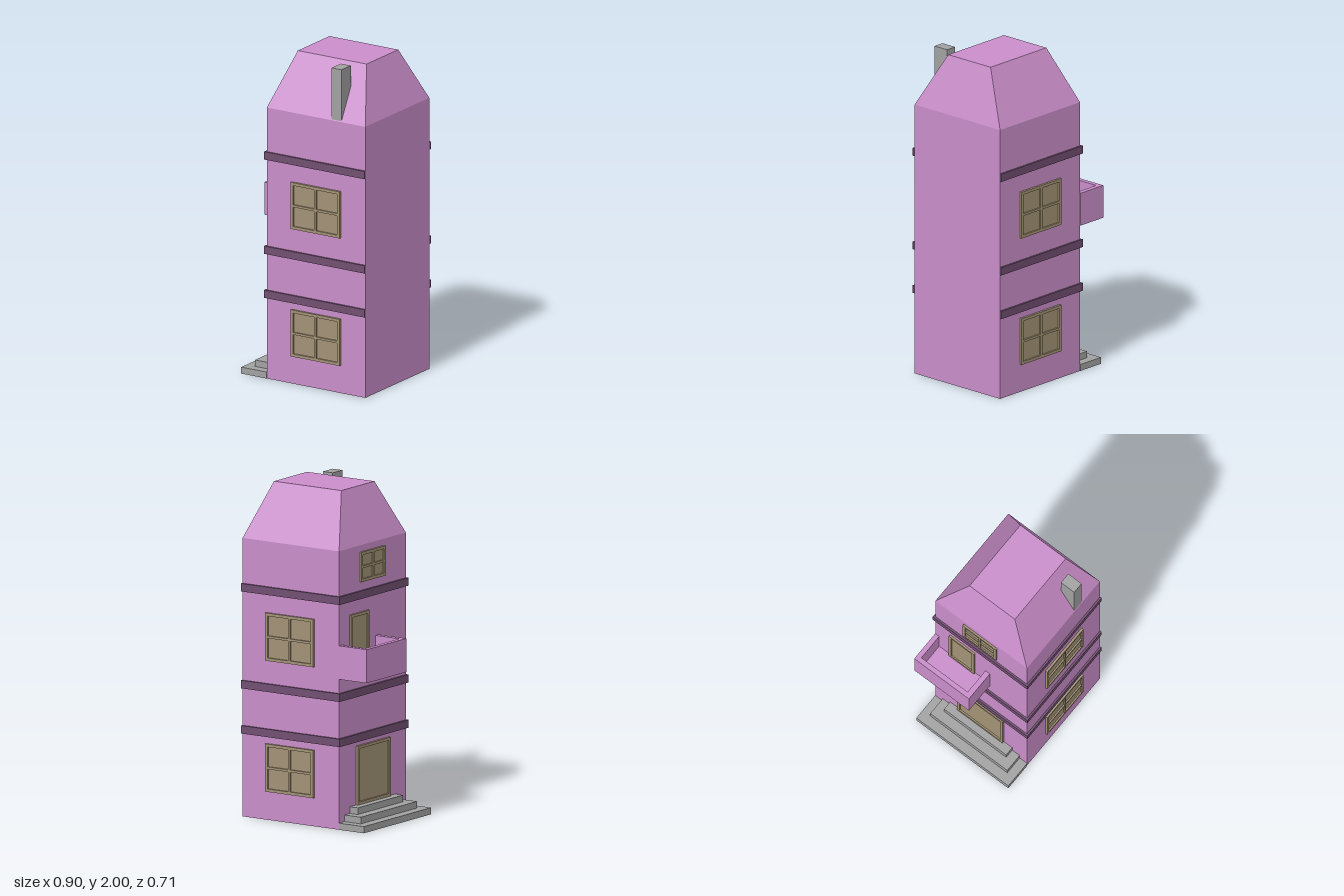
import * as THREE from 'three';

const mat = (color) => new THREE.MeshStandardMaterial({ color, flatShading: true });

export function createModel() {
  const house = new THREE.Group();
  house.name = 'house';
  const wall = mat(0xca8eca), trim = mat(0x714f71), wood = mat(0xa39376), stone = mat(0xa2a2a2);
  const X0 = -0.25, X1 = 0.445, Z = 0.343, EAVES = 1.675;

  // Box given by its lower and upper limits on each axis
  function box(name, material, [x0, x1], [y0, y1], [z0, z1], parent = house) {
    const mesh = new THREE.Mesh(new THREE.BoxGeometry(x1 - x0, y1 - y0, z1 - z0), material);
    mesh.position.set((x0 + x1) / 2, (y0 + y1) / 2, (z0 + z1) / 2);
    mesh.name = name;
    parent.add(mesh);
    return mesh;
  }

  // Rectangle path, used for frame outlines and openings
  function rect(target, x0, y0, x1, y1) {
    target.moveTo(x0, y0);
    target.lineTo(x1, y0);
    target.lineTo(x1, y1);
    target.lineTo(x0, y1);
    target.closePath();
    return target;
  }

  // Framed panel facing +z, with cols x rows openings over a recessed pane
  function framed(name, w, h, cols, rows, depth, border = 0.018, bar = 0.014) {
    const group = new THREE.Group();
    group.name = name;
    const shape = rect(new THREE.Shape(), -w / 2, -h / 2, w / 2, h / 2);
    const cw = (w - 2 * border - (cols - 1) * bar) / cols;
    const ch = (h - 2 * border - (rows - 1) * bar) / rows;
    for (let i = 0; i < cols; i++) {
      for (let j = 0; j < rows; j++) {
        const x = -w / 2 + border + i * (cw + bar), y = -h / 2 + border + j * (ch + bar);
        shape.holes.push(rect(new THREE.Path(), x, y, x + cw, y + ch));
      }
    }
    const frame = new THREE.Mesh(new THREE.ExtrudeGeometry(shape, { depth, bevelEnabled: false }), wood);
    frame.name = name + 'Frame';
    group.add(frame);
    box(name + 'Panel', wood, [-w / 2 + 0.005, w / 2 - 0.005], [-h / 2 + 0.005, h / 2 - 0.005],
      [-0.01, depth * 0.3], group);
    house.add(group);
    return group;
  }

  // Main tower
  box('walls', wall, [X0, X1], [0, EAVES], [-Z, Z]);

  // Hipped roof with a flat top: a box whose upper corners move inward
  const roof = box('roof', wall, [X0, X1], [EAVES, 2], [-Z, Z]);
  const p = roof.geometry.attributes.position;
  for (let i = 0; i < p.count; i++) {
    if (p.getY(i) > 0) {
      p.setX(i, (p.getX(i) < 0 ? -0.145 : 0.34) - roof.position.x);
      p.setZ(i, Math.sign(p.getZ(i)) * 0.17);
    }
  }
  roof.geometry.computeVertexNormals();

  box('chimney', stone, [0.205, 0.275], [EAVES, 1.998], [0.24, 0.34]);

  // Trim bands around the front, back and balcony side
  for (const y of [0.5, 0.772, 1.355]) {
    const h = [y, y + 0.048];
    box('frontBand', trim, [-0.262, 0.448], h, [Z, 0.355]);
    box('backBand', trim, [-0.262, 0.448], h, [-0.355, -Z]);
    box('sideBand', trim, [-0.262, X0], h, [-Z, Z]);
  }

  // Four-pane windows, front and back
  for (const y of [0.315, 1.103]) {
    for (const side of [1, -1]) {
      const win = framed('window', 0.346, 0.288, 2, 2, 0.014);
      win.position.set(0.1, y, side * Z);
      if (side < 0) win.rotation.y = Math.PI;
    }
  }

  // Attic window, balcony door and entrance door on the -x side
  const onSide = (part, y, z) => {
    part.rotation.y = -Math.PI / 2;
    part.position.set(X0, y, z);
  };
  onSide(framed('atticWindow', 0.25, 0.18, 2, 2, 0.012), 1.545, -0.005);
  onSide(framed('balconyDoor', 0.19, 0.335, 1, 1, 0.012), 1.1075, -0.14);
  onSide(framed('entranceDoor', 0.34, 0.355, 1, 1, 0.014), 0.2975, 0);

  // Balcony: floor and three parapet walls
  box('balconyFloor', wall, [-0.45, X0], [0.905, 0.94], [-0.345, 0.065]);
  box('balconyOuterWall', wall, [-0.45, -0.42], [0.94, 1.107], [-0.345, 0.065]);
  box('balconyBackWall', wall, [-0.42, X0], [0.94, 1.107], [-0.345, -0.315]);
  box('balconyFrontWall', wall, [-0.42, X0], [0.94, 1.107], [0.032, 0.065]);

  // Entrance steps
  for (let i = 0; i < 3; i++) {
    const z = 0.345 - i * 0.056;
    box('step', stone, [-0.43 + i * 0.061, X0], [i * 0.04, (i + 1) * 0.04], [-z, z]);
  }
  return house;
}
